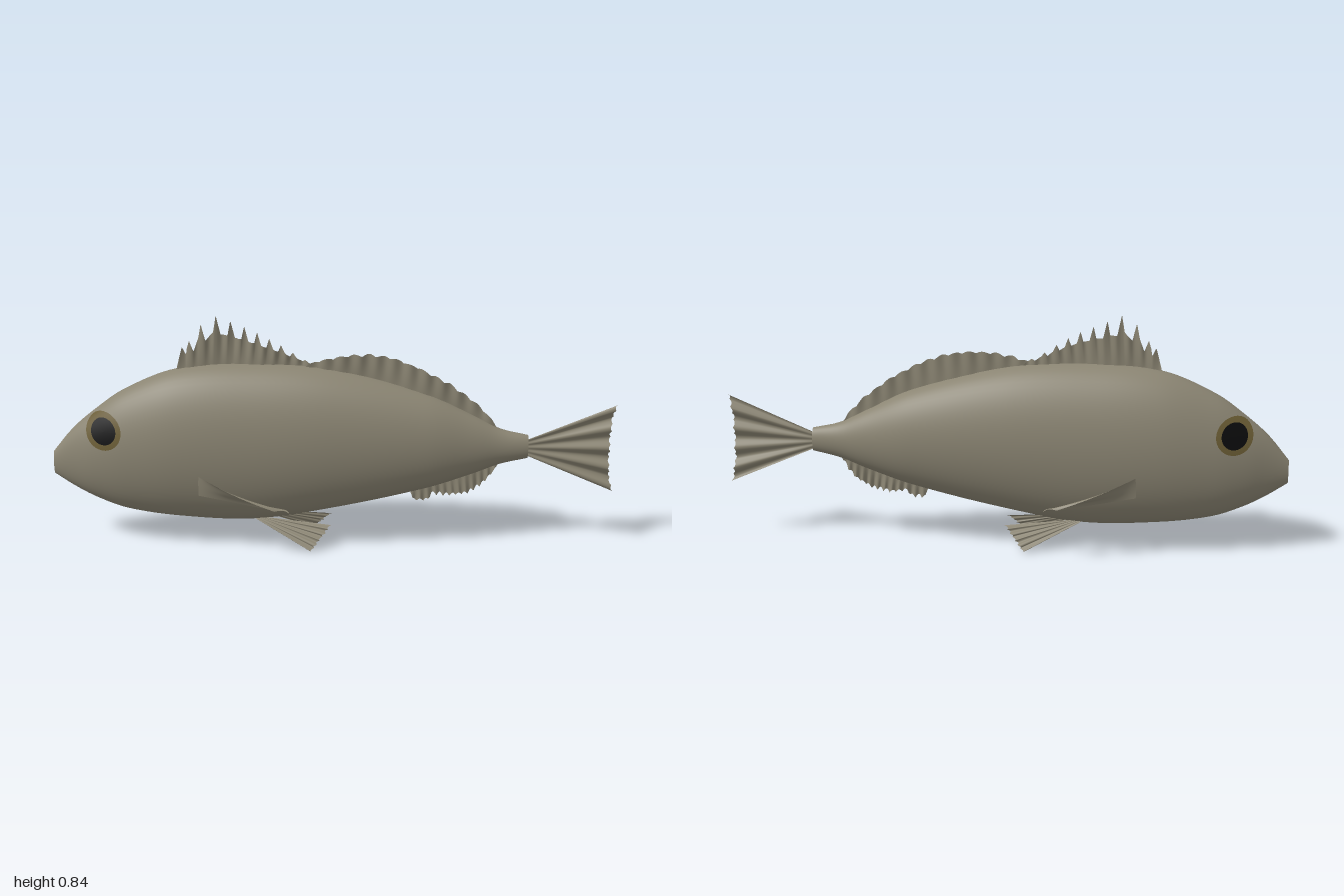
import * as THREE from 'three';

const skin = new THREE.MeshStandardMaterial({ color: 0x8b8573, side: THREE.DoubleSide });
skin.name = 'olive grey skin';
const gold = new THREE.MeshStandardMaterial({ color: 0x6a5c34, side: THREE.DoubleSide });
gold.name = 'dull gold iris';
const black = new THREE.MeshStandardMaterial({ color: 0x0b0b0c, side: THREE.DoubleSide });
black.name = 'black pupil';

// Body profile stations: x, top y, bottom y, half width
const STATIONS = [
  [-1, 0.34, 0.256, 0.014], [-0.93, 0.425, 0.21, 0.045], [-0.85, 0.495, 0.168, 0.08],
  [-0.74, 0.573, 0.128, 0.112], [-0.55, 0.65, 0.101, 0.142], [-0.28, 0.67, 0.093, 0.15],
  [0, 0.65, 0.138, 0.14], [0.33, 0.563, 0.215, 0.105], [0.5, 0.483, 0.272, 0.066],
  [0.59, 0.438, 0.307, 0.043], [0.69, 0.415, 0.33, 0.025],
];

// Smooth interpolation of one station column at x
function profile(x, k) {
  const S = STATIONS, n = S.length;
  let i = 0;
  while (i < n - 2 && x > S[i + 1][0]) i++;
  const slope = (j) => {
    const a = S[Math.max(j - 1, 0)], b = S[Math.min(j + 1, n - 1)];
    return (b[k] - a[k]) / (b[0] - a[0]);
  };
  const d = S[i + 1][0] - S[i][0];
  const t = Math.min(1, Math.max(0, (x - S[i][0]) / d)), t2 = t * t, t3 = t2 * t;
  return (2 * t3 - 3 * t2 + 1) * S[i][k] + (t3 - 2 * t2 + t) * d * slope(i)
    + (3 * t2 - 2 * t3) * S[i + 1][k] + (t3 - t2) * d * slope(i + 1);
}
const top = (x) => profile(x, 1);
const bottom = (x) => profile(x, 2);

// Half width of the body surface at (x, y)
function sideZ(x, y) {
  const c = (top(x) + bottom(x)) / 2, h = (top(x) - bottom(x)) / 2;
  return profile(x, 3) * Math.sqrt(Math.max(0, 1 - ((y - c) / h) ** 2));
}

// Grid surface from a point function of u, v in 0..1
function grid(nu, nv, point) {
  const pos = [], index = [];
  for (let i = 0; i <= nu; i++) {
    for (let j = 0; j <= nv; j++) pos.push(...point(i / nu, j / nv));
  }
  for (let i = 0; i < nu; i++) {
    for (let j = 0; j < nv; j++) {
      const a = i * (nv + 1) + j, b = a + nv + 1;
      index.push(a, a + 1, b, b, a + 1, b + 1);
    }
  }
  const g = new THREE.BufferGeometry();
  g.setAttribute('position', new THREE.Float32BufferAttribute(pos, 3));
  g.setIndex(index);
  g.computeVertexNormals();
  return g;
}

// Height of an outline given as [x, y] points
function along(points, x) {
  let i = 0;
  while (i < points.length - 2 && x > points[i + 1][0]) i++;
  const [a, b] = [points[i], points[i + 1]];
  return a[1] + (b[1] - a[1]) * (x - a[0]) / (b[0] - a[0]);
}
const mix = THREE.MathUtils.lerp;

// Upright pleated fin between a base line and an outline
function uprightFin(outline, base, steps, ragged) {
  const x0 = outline[0][0], x1 = outline[outline.length - 1][0];
  return grid(steps, 4, (u, v) => {
    const x = mix(x0, x1, u);
    const tip = along(outline, x) + ragged * Math.abs(Math.sin(u * 45));
    const z = 0.005 * Math.sin(u * 13) + 0.005 * v * Math.sin(u * 75);
    return [x + 0.01 * v * Math.sin(u * Math.PI), mix(base(x), tip, v), z];
  });
}

export function createModel() {
  const fish = new THREE.Group();
  fish.name = 'fish';
  const add = (name, geometry, material, parent = fish) => {
    const m = new THREE.Mesh(geometry, material);
    m.name = name;
    parent.add(m);
    return m;
  };

  // Body with flat snout and tail-stalk ends
  add('body', grid(72, 56, (u, v) => {
    const x = mix(-1, 0.69, u), a = v * Math.PI * 2;
    const c = (top(x) + bottom(x)) / 2, h = (top(x) - bottom(x)) / 2;
    return [x, c + h * Math.cos(a), profile(x, 3) * Math.sin(a)];
  }), skin);
  for (const [name, x, turn] of [['snoutTip', -1, -1], ['tailStalkEnd', 0.69, 1]]) {
    const cap = add(name, new THREE.CircleGeometry(1, 32), skin);
    cap.rotation.y = turn * Math.PI / 2;
    cap.scale.set(profile(x, 3), (top(x) - bottom(x)) / 2, 1);
    cap.position.set(x, (top(x) + bottom(x)) / 2, 0);
  }

  // Spiny front dorsal fin: one sharp tip per spine
  const spines = [[-0.55, 0.65]];
  const tips = [[-0.53, 0.73], [-0.505, 0.755], [-0.465, 0.815], [-0.415, 0.845], [-0.367, 0.825],
    [-0.32, 0.805], [-0.275, 0.785], [-0.232, 0.762], [-0.19, 0.738], [-0.147, 0.71], [-0.1, 0.685]];
  tips.forEach(([x, y], i) => {
    spines.push([x, y]);
    const next = tips[i + 1];
    if (next) spines.push([x + 0.014, mix(y, top(x), 0.4)], [next[0] - 0.01, mix(next[1], top(x), 0.33)]);
  });
  spines.push([-0.06, 0.66]);
  add('spinyDorsalFin', uprightFin(spines, (x) => top(x) - 0.02, 240, 0), skin);

  // Soft rear dorsal fin and anal fin
  add('softDorsalFin', uprightFin([[-0.1, 0.66], [-0.04, 0.682], [0.04, 0.697], [0.12, 0.7], [0.2, 0.688],
    [0.29, 0.655], [0.4, 0.597], [0.5, 0.525], [0.56, 0.465], [0.59, 0.425]],
  (x) => top(x) - 0.02, 150, 0.008), skin);
  add('analFin', uprightFin([[0.275, 0.2], [0.285, 0.16], [0.335, 0.162], [0.345, 0.185], [0.4, 0.178],
    [0.47, 0.19], [0.53, 0.225], [0.57, 0.27], [0.59, 0.31]],
  (x) => bottom(x) + 0.02, 120, 0.012), skin);

  // Tail fan with pleats and a shallow ragged rear edge
  add('tailFin', grid(96, 6, (u, v) => {
    const end = 0.982 + 0.018 * Math.abs(2 * u - 1) ** 3 - 0.006 * Math.abs(Math.sin(u * 40));
    const edge = u === 0 || u === 1 ? 1 : end;
    return [mix(0.67, edge, v), mix(mix(0.345, 0.39, u), mix(0.205, 0.53, u), v),
      0.009 * v * Math.sin(u * 28)];
  }), skin);

  for (const [side, s] of [['left', 1], ['right', -1]]) {
    // Pectoral fin: a blade twisting from upright root to level rounded tip
    add(side + 'PectoralFin', grid(20, 14, (u, v) => {
      const round = 0.05 * (2 * v - 1) ** 2;
      const x = mix(-0.47, -0.15 - round, u);
      const y = mix(mix(0.225, 0.3, v), mix(0.18, 0.192, v), u) + 0.006 * Math.sin(v * 9) * u;
      const z = mix(mix(0.132, 0.14, v), mix(0.155, 0.2, v), u) + 0.022 * v * Math.sin(u * Math.PI);
      return [x, y, s * z];
    }), skin);

    // Pelvic fin: a fan splayed down and outwards
    add(side + 'PelvicFin', grid(48, 8, (u, v) => {
      const ragged = 0.008 * Math.abs(Math.sin(u * 22));
      const x = mix(mix(-0.29, -0.25, u), mix(-0.075, -0.005, u) - ragged, v);
      const y = mix(0.108, mix(0.006, 0.086, u), v);
      const z = mix(0.035, mix(0.115, 0.06, u), v) + 0.004 * v * Math.sin(u * 30);
      return [x, y, s * z];
    }), skin);

    // Eye: iris ring and pupil lying on the curved side of the head
    const eye = new THREE.Group();
    eye.name = side + 'Eye';
    fish.add(eye);
    const plate = (r0, r1) => grid(48, 6, (u, v) => {
      const r = mix(r0, r1, v), a = u * Math.PI * 2;
      const x = -0.803 + r * Math.cos(a), y = 0.443 + r * Math.sin(a);
      return [x - 0.002, y, s * (sideZ(x, y) + 0.004)];
    });
    add(side + 'Iris', plate(0.046, 0.065), gold, eye);
    add(side + 'Pupil', plate(0, 0.046), black, eye);
  }
  return fish;
}
